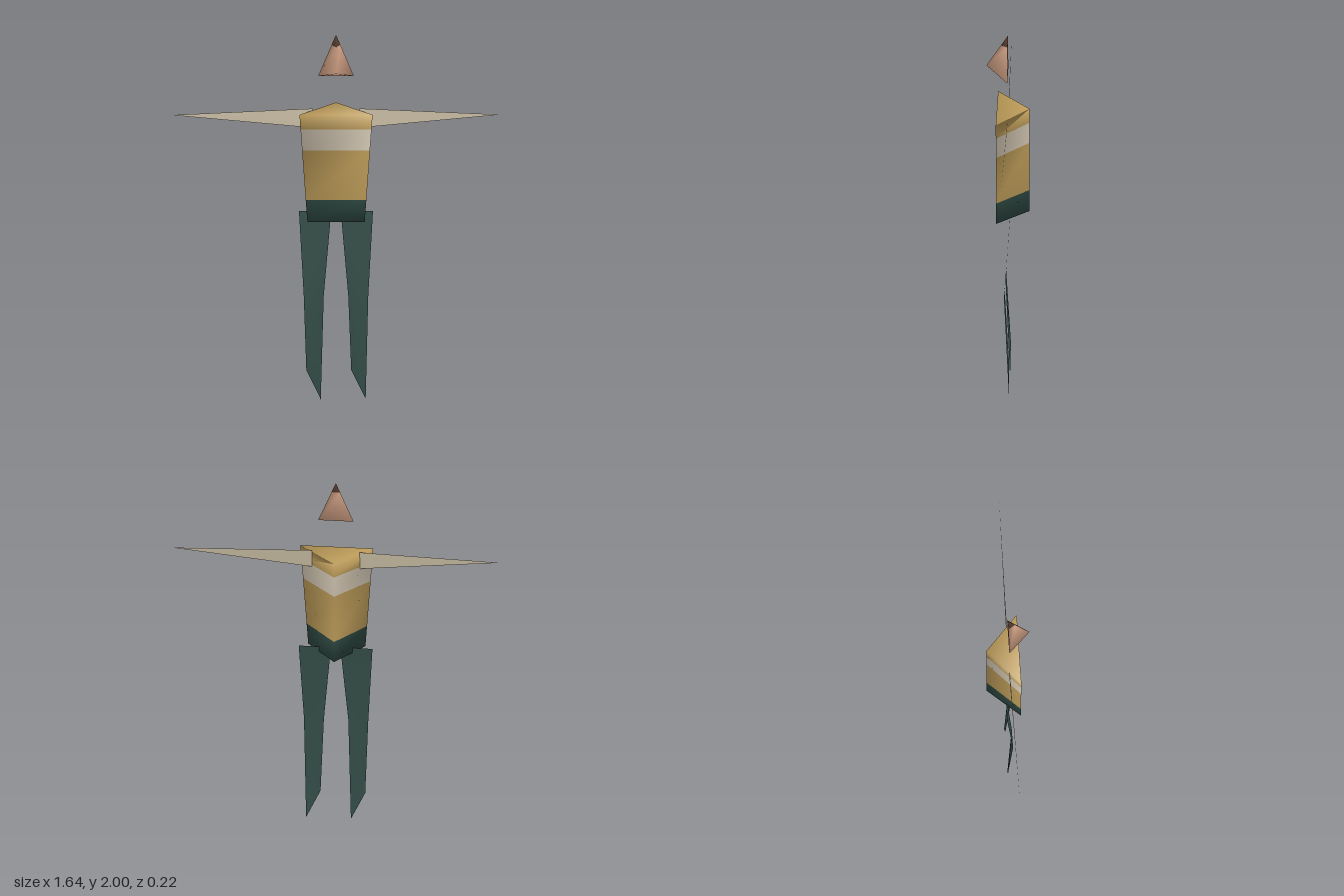
import * as THREE from 'three';

function material(name, color, side = THREE.FrontSide) {
  const m = new THREE.MeshStandardMaterial({ color, side });
  m.name = name;
  return m;
}

// Smooth closed loft through rings (anticlockwise from above), one material per section
function loft(name, rings, mats) {
  const positions = [], starts = [], index = [];
  for (const ring of rings) {
    starts.push(positions.length / 3);
    ring.forEach(p => positions.push(...p));
  }
  const geo = new THREE.BufferGeometry();
  const tri = (a, b, c) => { if (a !== b && b !== c && a !== c) index.push(a, b, c); };
  const at = (i, j) => starts[i] + j % rings[i].length;
  const last = rings.length - 1;
  for (let i = 0; i < last; i++) {
    const from = index.length;
    if (i === 0) tri(at(0, 2), at(0, 1), at(0, 0));
    for (let j = 0; j < 3; j++) {
      tri(at(i, j), at(i, (j + 1) % 3), at(i + 1, (j + 1) % 3));
      tri(at(i, j), at(i + 1, (j + 1) % 3), at(i + 1, j));
    }
    if (i === last - 1) tri(at(last, 0), at(last, 1), at(last, 2));
    geo.addGroup(from, index.length - from, i);
  }
  geo.setAttribute('position', new THREE.Float32BufferAttribute(positions, 3));
  geo.setIndex(index);
  geo.computeVertexNormals();
  const mesh = new THREE.Mesh(geo, mats);
  mesh.name = name;
  return mesh;
}

// Thin sheet between two edges, given as matching lists of points
function sheet(name, edgeA, edgeB, mat) {
  const positions = [], index = [];
  edgeA.forEach((p, i) => {
    positions.push(...p, ...edgeB[i]);
    if (i > 0) {
      const k = 2 * i;
      index.push(k - 2, k, k - 1, k - 1, k, k + 1);
    }
  });
  const geo = new THREE.BufferGeometry();
  geo.setAttribute('position', new THREE.Float32BufferAttribute(positions, 3));
  geo.setIndex(index);
  geo.computeVertexNormals();
  const mesh = new THREE.Mesh(geo, mat);
  mesh.name = name;
  return mesh;
}

export function createModel() {
  const gold = material('gold cloth', 0xbd9c59);
  const cream = material('cream band', 0xd6cab6);
  const green = material('dark green hem', 0x2f4a43);
  const trousers = material('green trousers', 0x36504a, THREE.DoubleSide);
  const sleeve = material('beige sleeves', 0xcabea5, THREE.DoubleSide);
  const skin = material('skin', 0xd0a084);
  const hair = material('brown hair', 0x543a2d);
  const group = new THREE.Group();
  group.name = 'figure';

  // Three-sided torso, flat at the front and tapering to the waist
  const torsoRing = y => {
    const x = 0.145 + 0.04 * (y - 1) / 0.585;
    return [[x, y, 0.055], [0, y, -0.11], [-x, y, 0.055]];
  };
  group.add(loft('torso', [1.0, 1.12, 1.39, 1.505, 1.585].map(torsoRing), [green, gold, cream, gold]));

  // Floating head: a pyramid with a forward nose and a dark tip
  const tip = [0, 2, 0];
  const face = [[0.09, 1.775, 0], [-0.09, 1.775, 0], [0, 1.83, 0.108]];
  const hairline = face.map(p => {
    const t = 0.055 / (2 - p[1]);
    return [p[0] * t, 1.945, p[2] * t];
  });
  group.add(loft('head', [face, hairline, [tip]], [skin, hair]));

  // Flat pointed arms
  for (const s of [1, -1]) {
    group.add(sheet(s > 0 ? 'leftArm' : 'rightArm',
      [[s * 0.12, 1.595, -0.004], [s * 0.82, 1.566, 0.007]],
      [[s * 0.12, 1.493, 0.003], [s * 0.82, 1.564, 0.007]], sleeve));
  }

  // Flat legs: mirrored down to the ankles, both feet cut at the same slant
  for (const s of [1, -1]) {
    const outerFoot = s > 0 ? 0.005 : 0.165;
    const innerFoot = s > 0 ? 0.165 : 0.005;
    group.add(sheet(s > 0 ? 'leftLeg' : 'rightLeg',
      [[s * 0.187, 1.03, -0.016], [s * 0.163, 0.58, 0.014], [s * 0.15, outerFoot, -0.011]],
      [[s * 0.024, 1.03, -0.016], [s * 0.062, 0.58, 0.014], [s * 0.077, innerFoot, -0.009]], trousers));
  }
  return group;
}
